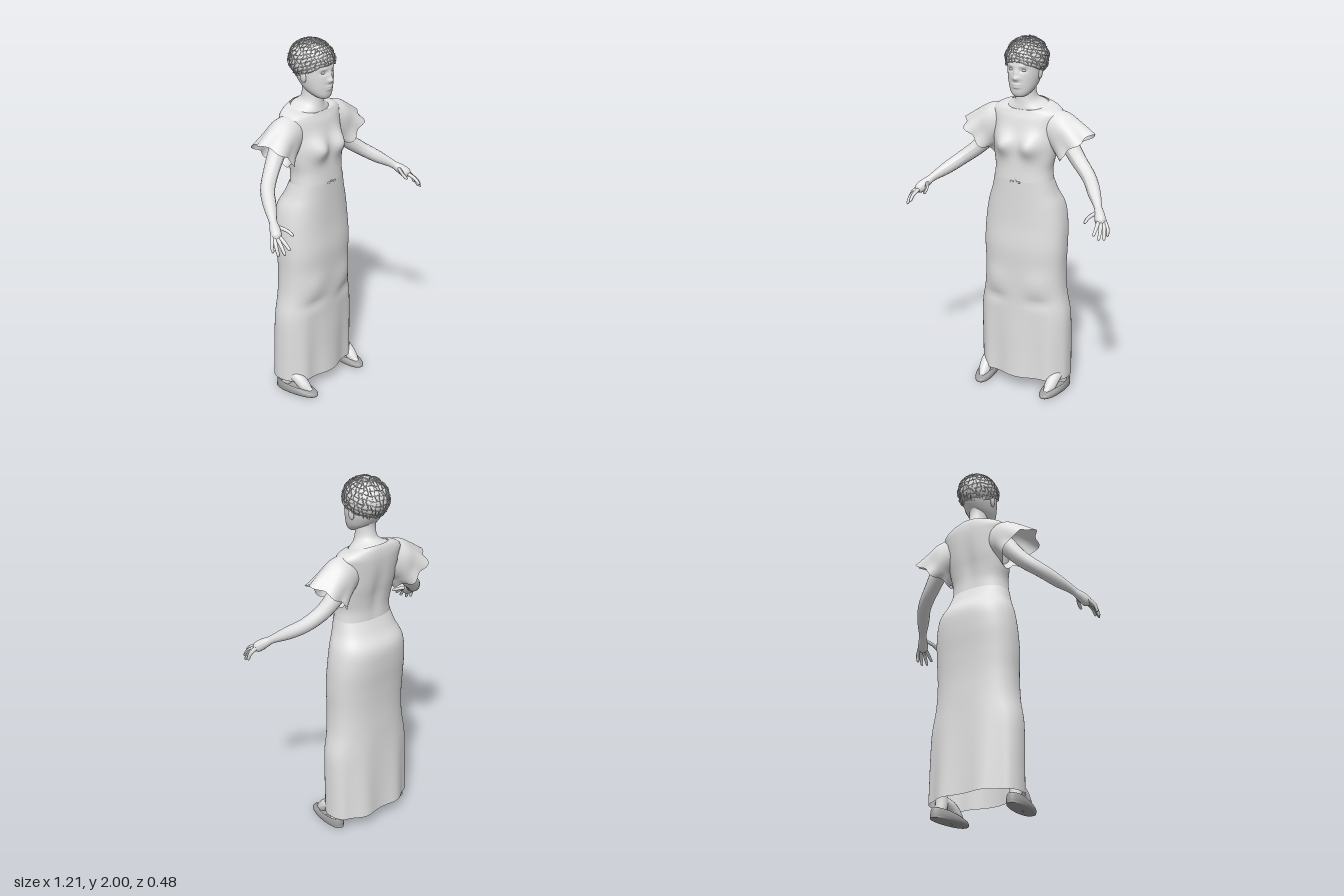
import * as THREE from 'three';

const mat = (name, color) => {
  const m = new THREE.MeshStandardMaterial({ color, side: THREE.DoubleSide });
  m.name = name;
  return m;
};
const bump = (x, y, cx, cy, sx, sy) => Math.exp(-(((x - cx) / sx) ** 2) - ((y - cy) / sy) ** 2);

// Smooth interpolation through rows of numbers of equal length
function sample(rows, u) {
  const f = u * (rows.length - 1), i = Math.min(Math.floor(f), rows.length - 2), t = f - i;
  const [a, b, c, d] = [i - 1, i, i + 1, i + 2].map(k => rows[Math.max(0, Math.min(rows.length - 1, k))]);
  return b.map((_, k) => b[k] + 0.5 * t * (c[k] - a[k] + t * (2 * a[k] - 5 * b[k] + 4 * c[k] - d[k] + t * (3 * (b[k] - c[k]) + d[k] - a[k]))));
}

// Closed-around surface from a rule point(u along, angle)
function surface(rows, cols, point) {
  const pos = [], index = [];
  for (let i = 0; i <= rows; i++) {
    for (let j = 0; j < cols; j++) {
      pos.push(...point(i / rows, (j / cols) * Math.PI * 2));
      if (i < rows) {
        const a = i * cols + j, b = i * cols + ((j + 1) % cols);
        index.push(a, a + cols, b, b, a + cols, b + cols);
      }
    }
  }
  const g = new THREE.BufferGeometry();
  g.setAttribute('position', new THREE.Float32BufferAttribute(pos, 3));
  g.setIndex(index);
  g.computeVertexNormals();
  return g;
}

// Rings: [y, half width, front z, back z, optional tilt]; rounded-box power n
function loft(rings, n = 2, push = () => 0, cols = 64, steps = 5) {
  const rows = rings.map(([y, w, zf, zb, tilt = 0]) => [y, w, zf, zb, tilt]);
  return surface((rows.length - 1) * steps, cols, (u, a) => {
    const [y0, w, zf, zb, tilt] = sample(rows, u);
    const c = Math.cos(a), s = Math.sin(a);
    const x = w * Math.sign(c) * Math.abs(c) ** (2 / n);
    const k = Math.sign(s) * Math.abs(s) ** (2 / n);
    const y = y0 - tilt * k;
    return [x, y, (zf + zb) / 2 + k * (zf - zb) / 2 + push(x, y, s, a)];
  });
}

// Tapered limb through [x, y, z, radius]
function limb(points, sides = 14, segs = 18) {
  const curve = new THREE.CatmullRomCurve3(points.map(p => new THREE.Vector3(p[0], p[1], p[2])));
  const radii = points.map(p => [p[3]]);
  const g = new THREE.TubeGeometry(curve, segs, 1, sides, false);
  const p = g.attributes.position, v = new THREE.Vector3();
  for (let i = 0; i <= segs; i++) {
    const c = curve.getPointAt(i / segs);
    const r = Math.max(0.0005, sample(radii, curve.getUtoTmapping(i / segs))[0]);
    for (let j = 0; j <= sides; j++) {
      const k = i * (sides + 1) + j;
      v.fromBufferAttribute(p, k).sub(c).multiplyScalar(r).add(c);
      p.setXYZ(k, v.x, v.y, v.z);
    }
  }
  g.computeVertexNormals();
  return g;
}

export function createModel() {
  const model = new THREE.Group();
  model.name = 'woman';
  const pale = mat('pale grey', 0xe2e2e2);
  const mid = mat('shoe grey', 0xa0a0a0);
  const add = (name, geo, m = pale, parent = model) => {
    const mesh = new THREE.Mesh(geo, m);
    mesh.name = name;
    parent.add(mesh);
    return mesh;
  };
  const ball = (name, p, s, parent = model) => {
    const b = add(name, new THREE.SphereGeometry(1, 16, 10), pale, parent);
    b.position.set(...p);
    b.scale.set(...s);
    return b;
  };

  // Long skirt with soft knee folds and a wavy hem
  add('skirt', loft([
    [0.07, 0.27, 0.05, -0.235], [0.2, 0.27, 0.048, -0.23], [0.33, 0.27, 0.048, -0.225],
    [0.46, 0.266, 0.048, -0.22], [0.59, 0.243, 0.052, -0.217], [0.72, 0.236, 0.055, -0.217],
    [0.85, 0.24, 0.06, -0.225], [0.98, 0.236, 0.052, -0.238], [1.09, 0.218, 0.05, -0.237],
    [1.17, 0.187, 0.05, -0.195], [1.24, 0.168, 0.05, -0.165],
  ], 2.4, (x, y, s, a) => {
    const low = Math.max(0, 1 - y / 0.6);
    const knee = bump(Math.abs(x), y, 0.14, 0.65, 0.08, 0.07) - bump(Math.abs(x), y, 0.14, 0.54, 0.08, 0.03);
    return (s > 0 ? s * knee * 0.012 : 0) + low * 0.012 * Math.cos(a * 8) * Math.abs(s);
  }));

  // Bodice with bust
  add('bodice', loft([
    [1.235, 0.168, 0.05, -0.165], [1.3, 0.163, 0.045, -0.165], [1.37, 0.175, 0.04, -0.175],
    [1.44, 0.183, 0.035, -0.19], [1.51, 0.187, 0.02, -0.2], [1.57, 0.197, 0.005, -0.205],
    [1.605, 0.2, -0.008, -0.205, 0.004], [1.63, 0.165, -0.015, -0.2, 0.012], [1.64, 0.11, -0.018, -0.19, 0.022],
  ], 2.3, (x, y, s) => (s > 0 ? s * 0.045 * bump(Math.abs(x), y, 0.082, 1.435, 0.056, 0.06) : 0)
    + (s < 0 ? -s * 0.012 * bump(x, y, 0, 1.4, 0.035, 0.14) : 0)));
  for (const x of [-0.022, 0, 0.022])
    ball('waistTie', [x, 1.237 + (x ? 0 : 0.006), 0.051], [0.012, 0.005, 0.004]);

  // Neck spreading to the shoulders
  add('neck', loft([
    [1.6, 0.14, -0.02, -0.19, 0.02], [1.635, 0.118, -0.018, -0.188, 0.02], [1.66, 0.072, -0.022, -0.17, 0.01],
    [1.69, 0.053, -0.025, -0.148], [1.74, 0.049, -0.025, -0.14], [1.79, 0.05, -0.03, -0.15],
  ], 2, undefined, 36));

  // Head with nose, lips, brow and eye sockets
  add('head', loft([
    [1.692, 0.004, 0.005, -0.005], [1.697, 0.03, 0.022, -0.03], [1.715, 0.052, 0.032, -0.075],
    [1.745, 0.07, 0.036, -0.125], [1.79, 0.083, 0.039, -0.165], [1.83, 0.089, 0.039, -0.185],
    [1.87, 0.092, 0.037, -0.195], [1.92, 0.092, 0.03, -0.195], [1.96, 0.07, 0.005, -0.16], [1.985, 0.01, -0.07, -0.09],
  ], 2.1, (x, y, s) => {
    if (s < 0) return 0;
    const ax = Math.abs(x);
    return 0.016 * bump(x, y, 0, 1.797, 0.018, 0.013) + 0.01 * bump(x, y, 0, 1.822, 0.011, 0.022)
      + 0.008 * bump(x, y, 0, 1.764, 0.024, 0.006) + 0.008 * bump(x, y, 0, 1.75, 0.021, 0.006)
      - 0.008 * bump(ax, y, 0.036, 1.84, 0.018, 0.011) + 0.004 * bump(ax, y, 0.036, 1.863, 0.025, 0.008);
  }, 88, 8));

  // Cropped hair: cap plus a lattice of strands, lower at the nape
  const hair = new THREE.Group();
  hair.name = 'hair';
  model.add(hair);
  const scalp = (u, a, grow = 0) => {
    const phi = u * (1.55 + 1.05 * (0.5 - 0.5 * Math.sin(a)) ** 0.8);
    const r = 1 + grow;
    return [0.108 * r * Math.sin(phi) * Math.cos(a), 1.885 + 0.108 * r * Math.cos(phi), -0.086 + 0.128 * r * Math.sin(phi) * Math.sin(a)];
  };
  add('hairCap', surface(18, 40, (u, a) => scalp(1 - u, a)), pale, hair);
  const strand = (name, pts, closed) => add(name, new THREE.TubeGeometry(
    new THREE.CatmullRomCurve3(pts.map(p => new THREE.Vector3(...p)), closed), 30, 0.0022, 4, closed), pale, hair);
  for (let k = 0; k < 32; k++) {
    const pts = [];
    for (let i = 0; i <= 10; i++)
      pts.push(scalp(0.12 + 0.88 * i / 10, k / 32 * Math.PI * 2 + 0.06 * Math.sin(i * 2.1 + k * 1.7), 0.03 + 0.03 * Math.sin(i * 1.9 + k)));
    strand('hairStrand', pts, false);
  }
  for (let k = 1; k <= 11; k++) {
    const pts = [];
    for (let i = 0; i < 24; i++)
      pts.push(scalp(k / 11 + 0.015 * Math.sin(i * 2.3 + k), i / 24 * Math.PI * 2, 0.035 + 0.03 * Math.sin(i * 1.7 + k * 2)));
    strand('hairBand', pts, true);
  }

  for (const s of [1, -1]) {
    const side = new THREE.Group();
    side.name = s > 0 ? 'leftSide' : 'rightSide';
    model.add(side);
    const part = (name, pts, sides) => add(name, limb(pts.map(([x, y, z, r]) => [s * x, y, z, r]), sides), pale, side);

    // Eye and ear
    ball('eye', [s * 0.036, 1.84, 0.019], [0.014, 0.007, 0.01], side);
    ball('ear', [s * 0.088, 1.812, -0.07], [0.009, 0.03, 0.02], side).rotation.z = -s * 0.12;

    // Arm, palm and fingers
    part('arm', [[0.15, 1.55, -0.12, 0.05], [0.22, 1.455, -0.125, 0.05], [0.3, 1.36, -0.105, 0.043], [0.39, 1.285, -0.055, 0.038],
      [0.45, 1.235, 0.015, 0.034], [0.505, 1.19, 0.085, 0.021], [0.525, 1.165, 0.115, 0.024]]);
    part('palm', [[0.505, 1.19, 0.085, 0.02], [0.528, 1.165, 0.118, 0.027], [0.55, 1.138, 0.15, 0.027], [0.562, 1.122, 0.168, 0.002]]);
    const fingers = [
      [[0.515, 1.175, 0.115], [0.488, 1.155, 0.165], [0.482, 1.135, 0.203]],
      [[0.54, 1.145, 0.15], [0.55, 1.12, 0.205], [0.55, 1.09, 0.24]],
      [[0.552, 1.138, 0.152], [0.571, 1.108, 0.2], [0.576, 1.068, 0.23]],
      [[0.562, 1.138, 0.145], [0.586, 1.1, 0.18], [0.592, 1.06, 0.2]],
      [[0.564, 1.145, 0.135], [0.592, 1.11, 0.155], [0.598, 1.072, 0.168]],
    ];
    for (const [a, b, c] of fingers) {
      const pad = b.map((v, i) => v + 0.85 * (c[i] - v));
      part('finger', [[...a, 0.011], [...b, 0.0095], [...pad, 0.0075], [...c, 0.001]], 8);
    }

    // Flared ruffled sleeve: centre x, y, z, half height vector x, y, half depth
    const cuts = [
      [0.138, 1.53, -0.1, 0.028, 0.092, 0.078], [0.195, 1.506, -0.104, 0.038, 0.104, 0.092],
      [0.243, 1.468, -0.105, 0.066, 0.095, 0.098], [0.288, 1.431, -0.104, 0.092, 0.08, 0.113],
    ];
    add('sleeve', surface(16, 72, (u, a) => {
      const [x, y, z, hx, hy, d] = sample(cuts, u);
      const c = Math.cos(a), q = Math.sin(a), f = u * u;
      const r = 1 + 0.09 * f * Math.cos(6 * a), w = 0.008 * f * Math.cos(6 * a + 0.6);
      return [s * (x + c * hx * r + 0.7 * w), y + c * hy * r - 0.7 * w, z + q * d * r];
    }), pale, side);

    // Leg, foot and flat slipper
    const foot = new THREE.Group();
    foot.name = 'foot';
    foot.position.set(s * 0.217, 0, 0);
    foot.rotation.y = -s * 0.13;
    side.add(foot);
    add('lowerLeg', limb([[-s * 0.06, 0.55, -0.08, 0.055], [-s * 0.03, 0.35, -0.1, 0.05], [0, 0.16, -0.085, 0.032],
      [0, 0.09, -0.08, 0.034], [0, 0.04, -0.09, 0.03]]), pale, foot);
    add('instep', limb([[0, 0.11, -0.075, 0.03], [0, 0.088, -0.015, 0.034], [0, 0.048, 0.035, 0.032], [0, 0.025, 0.075, 0.016]]), pale, foot);
    add('slipper', loft([
      [0, 0.004, 0.01, -0.01], [0.001, 0.042, 0.1, -0.142], [0.012, 0.051, 0.117, -0.15, 0.002],
      [0.028, 0.052, 0.111, -0.15, 0.005], [0.042, 0.048, 0.085, -0.147, 0.009], [0.05, 0.043, 0.055, -0.142, 0.01],
    ], 2.2, undefined, 40), mid, foot);
  }
  return model;
}
